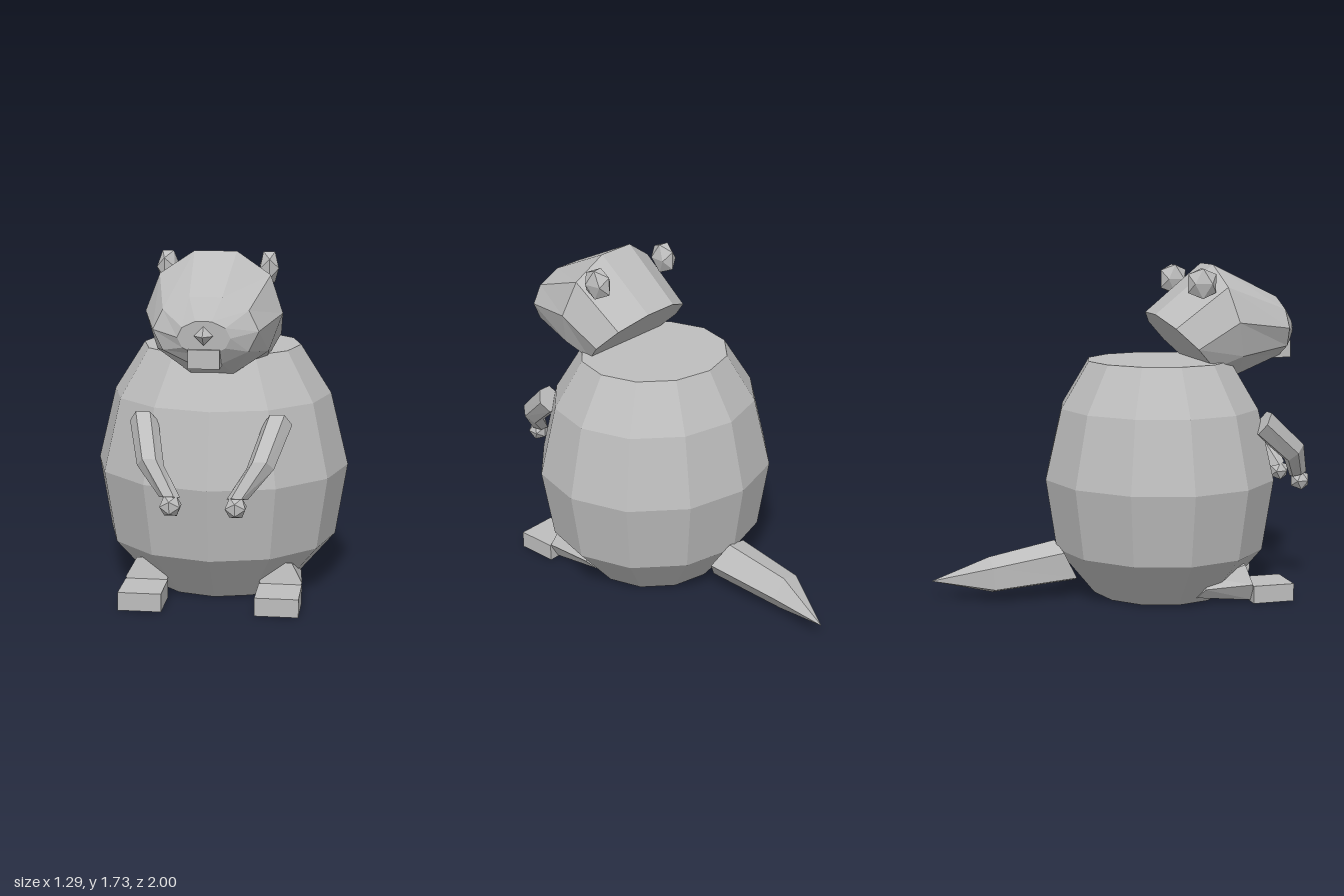
import * as THREE from 'three';

const fur = new THREE.MeshStandardMaterial({ color: 0xbdbdbd });
fur.name = 'grey fur';
fur.flatShading = true;

// Closed loft through elliptical rings ordered from back (-z) to front (+z).
// Each ring: [x, y, z, radiusX, radiusY, tilt in degrees]
function loft(rings, sides) {
  const pos = [];
  const pts = rings.map(([x, y, z, rx, ry, tilt]) => {
    const t = THREE.MathUtils.degToRad(tilt);
    return Array.from({ length: sides }, (_, j) => {
      const a = (j / sides) * Math.PI * 2;
      const u = ry * Math.sin(a);
      return [x + rx * Math.cos(a), y + u * Math.cos(t), z + u * Math.sin(t)];
    });
  });
  const tri = (a, b, c) => pos.push(...a, ...b, ...c);
  const last = pts.length - 1;
  for (let j = 0; j < sides; j++) {
    const k = (j + 1) % sides;
    for (let i = 0; i < last; i++) {
      tri(pts[i][j], pts[i][k], pts[i + 1][k]);
      tri(pts[i][j], pts[i + 1][k], pts[i + 1][j]);
    }
    tri(rings[0].slice(0, 3), pts[0][k], pts[0][j]);
    tri(rings[last].slice(0, 3), pts[last][j], pts[last][k]);
  }
  const g = new THREE.BufferGeometry();
  g.setAttribute('position', new THREE.Float32BufferAttribute(pos, 3));
  g.computeVertexNormals();
  return g;
}

export function createModel() {
  const model = new THREE.Group();
  const add = (name, geometry, x = 0, y = 0, z = 0) => {
    const mesh = new THREE.Mesh(geometry, fur);
    mesh.name = name;
    mesh.position.set(x, y, z);
    model.add(mesh);
    return mesh;
  };

  // Round twelve-sided body, slightly flattened front to back
  const profile = [[0, 0], [0.37, 0], [0.585, 0.25], [0.645, 0.62], [0.555, 0.99], [0.4, 1.235], [0, 1.235]];
  const body = new THREE.LatheGeometry(profile.map(p => new THREE.Vector2(...p)), 12);
  body.scale(1, 1, 0.95);
  add('body', body, 0, 0, 0.205);

  // Head from neck to muzzle
  add('head', loft([
    [0, 1.31, 0.326, 0.31, 0.25, -45],
    [0, 1.445, 0.538, 0.335, 0.312, -14],
    [0, 1.405, 0.84, 0.25, 0.163, -4],
    [0, 1.38, 0.905, 0.125, 0.082, 5],
  ], 10));
  add('nose', new THREE.OctahedronGeometry(0.045), 0, 1.39, 0.913);
  add('teeth', new THREE.BoxGeometry(0.15, 0.09, 0.13), 0, 1.28, 0.85);

  // Tail, bent up to a point
  add('tail', loft([
    [0.09, 0.095, -1, 0.001, 0.001, 0],
    [-0.005, 0.127, -0.7, 0.1, 0.1, -5],
    [0, 0.178, -0.3, 0.125, 0.13, -26],
  ], 5));

  for (const side of [1, -1]) {
    const label = side > 0 ? 'left' : 'right';

    const ear = add(label + 'Ear', new THREE.IcosahedronGeometry(0.09), side * 0.25, 1.643, 0.36);
    ear.scale.set(0.6, 1, 0.95);
    ear.rotation.y = side * 0.12;

    // Arm: shoulder, elbow, wrist
    add(label + 'Arm', loft([
      [side * 0.325, 0.925, 0.67, 0.07, 0.075, 33],
      [side * 0.262, 0.755, 0.87, 0.065, 0.068, 45],
      [side * 0.16, 0.62, 0.935, 0.05, 0.046, 72],
    ], 6));
    add(label + 'Hand', new THREE.IcosahedronGeometry(0.057), side * 0.155, 0.583, 0.948);

    // Leg tucked under the body, with a flat foot
    add(label + 'Leg', loft([
      [side * 0.337, 0.085, 0.335, 0.085, 0.07, 32],
      [side * 0.337, 0.1, 0.585, 0.107, 0.113, -14],
    ], 6));
    add(label + 'Foot', new THREE.BoxGeometry(0.215, 0.092, 0.22), side * 0.336, 0.046, 0.7);
  }
  return model;
}
